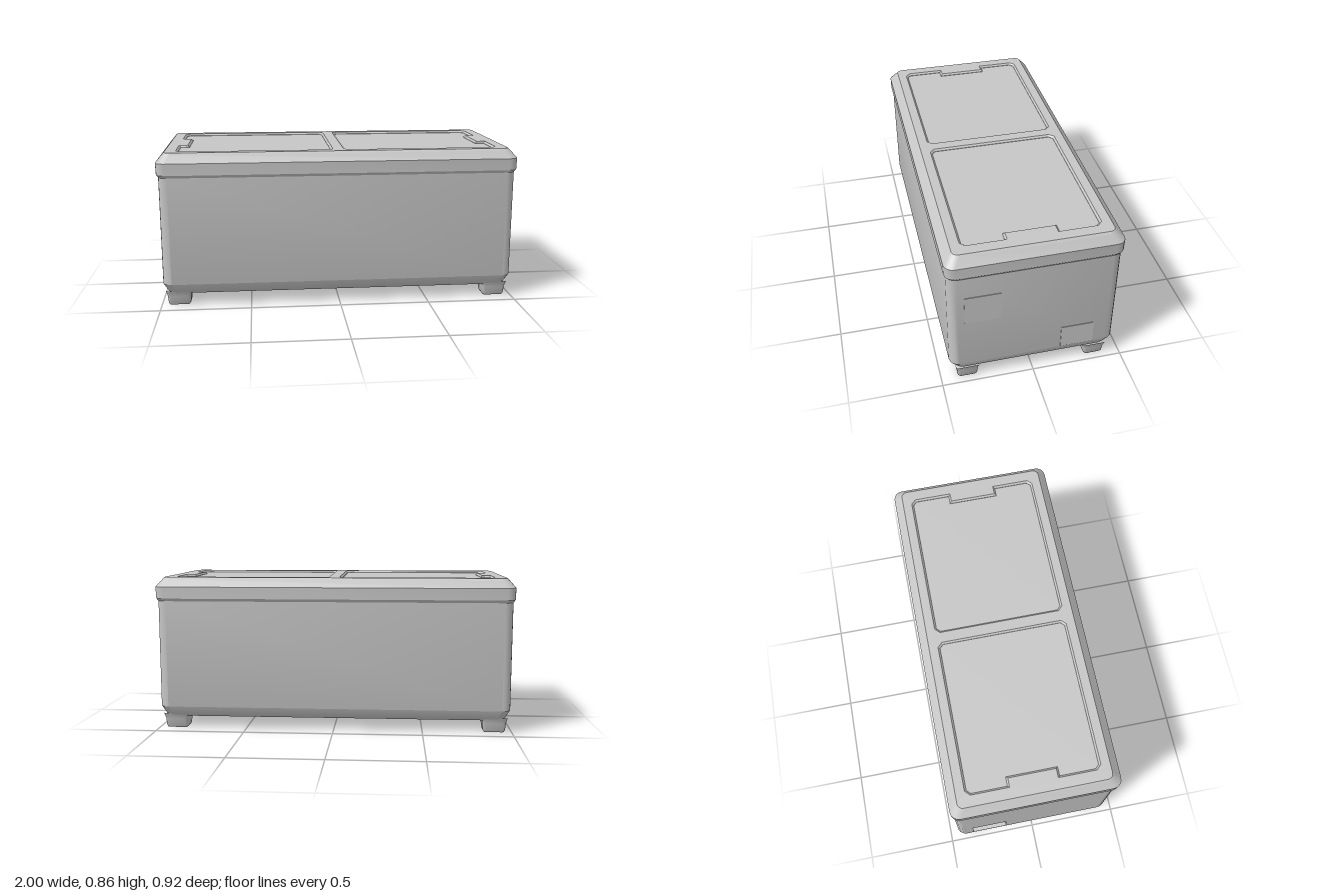
import * as THREE from 'three';
import { toCreasedNormals } from 'three/addons/utils/BufferGeometryUtils.js';

const SEG = 4; // segments per rounded corner

// Rounded rectangle outline, running from +x towards +z
function outline(hx, hz, r) {
  const pts = [];
  [[1, 1], [-1, 1], [-1, -1], [1, -1]].forEach(([sx, sz], q) => {
    for (let i = 0; i <= SEG; i++) {
      const a = (q + i / SEG) * Math.PI / 2;
      pts.push([sx * (hx - r) + r * Math.cos(a), sz * (hz - r) + r * Math.sin(a)]);
    }
  });
  return pts;
}

// Skin through rounded rectangles [y, halfX, halfZ, radius], closed underneath.
// openBand leaves out the flat -x face between that ring and the next.
function loft(rings, openBand = -1) {
  const pos = [], idx = [], n = 4 * (SEG + 1), leftFace = 2 * (SEG + 1) - 1;
  for (const [y, hx, hz, r] of rings) {
    for (const [x, z] of outline(hx, hz, r)) pos.push(x, y, z);
  }
  for (let k = 0; k < rings.length - 1; k++) {
    for (let i = 0; i < n; i++) {
      if (k === openBand && i === leftFace) continue;
      const a = k * n + i, b = k * n + (i + 1) % n;
      idx.push(a, a + n, b + n, a, b + n, b);
    }
  }
  for (let i = 1; i < n - 1; i++) idx.push(0, i, i + 1);
  const g = new THREE.BufferGeometry();
  g.setAttribute('position', new THREE.Float32BufferAttribute(pos, 3));
  g.setIndex(idx);
  return toCreasedNormals(g, 0.5);
}

function polygon(points, Type = THREE.Shape) {
  return new Type(points.map(([x, y]) => new THREE.Vector2(x, y)));
}

export function createModel() {
  const model = new THREE.Group();
  const grey = new THREE.MeshStandardMaterial({ color: 0xc6c6c6 });
  grey.name = 'light grey';

  const add = (name, geometry, x = 0, y = 0, z = 0) => {
    const mesh = new THREE.Mesh(geometry, grey);
    mesh.name = name;
    mesh.position.set(x, y, z);
    model.add(mesh);
    return mesh;
  };
  const box = (name, w, h, d, x, y, z) => add(name, new THREE.BoxGeometry(w, h, d), x, y, z);

  // Cabinet and overhanging lid rim
  add('cabinet', loft([
    [0.07, 0.955, 0.415, 0.04],
    [0.08, 0.965, 0.425, 0.05],
    [0.13, 0.988, 0.452, 0.05],
    [0.73, 0.988, 0.452, 0.05],
    [0.745, 0.998, 0.461, 0.05],
    [0.81, 1.0, 0.462, 0.05],
    [0.852, 0.965, 0.425, 0.04],
  ], 2));

  // End wall with a recessed service opening
  const wall = polygon([[-0.402, 0.13], [0.402, 0.13], [0.402, 0.73], [-0.402, 0.73]]);
  wall.holes.push(polygon([[-0.36, 0.14], [-0.165, 0.14], [-0.165, 0.295], [-0.36, 0.295]], THREE.Path));
  const endWall = add('endWall', new THREE.ExtrudeGeometry(wall, { depth: 0.03, bevelEnabled: false }), -0.958);
  endWall.rotation.y = -Math.PI / 2;
  box('recessBack', 0.01, 0.17, 0.21, -0.953, 0.2175, -0.2625);
  const cover = polygon([[-0.345, 0.145], [-0.215, 0.145], [-0.19, 0.17], [-0.19, 0.25], [-0.215, 0.275], [-0.345, 0.275]]);
  const plate = add('recessCover', new THREE.ExtrudeGeometry(cover, { depth: 0.008, bevelEnabled: false }), -0.957);
  plate.rotation.y = -Math.PI / 2;

  // Shallow plates on the other end
  box('endPlate', 0.006, 0.17, 0.19, 0.988, 0.515, 0.275);
  box('lowerEndPlate', 0.006, 0.14, 0.18, 0.988, 0.205, -0.24);

  // Lid frame with two bevelled openings, each notched for a grip
  const frame = polygon(outline(0.965, 0.425, 0.04));
  for (const s of [-1, 1]) {
    const half = [[0.04, 0.335], [0.06, 0.355], [0.865, 0.355], [0.885, 0.335], [0.885, 0.14], [0.835, 0.14]];
    const mirrored = half.map(([x, z]) => [x, -z]).reverse();
    frame.holes.push(polygon([...half, ...mirrored].map(([x, z]) => [s * x, z]), THREE.Path));
  }
  const lidFrame = add('lidFrame', new THREE.ExtrudeGeometry(frame, {
    depth: 0.01, bevelThickness: 0.01, bevelSize: 0.01, bevelOffset: -0.01, bevelSegments: 1,
  }), 0, 0.842);
  lidFrame.rotation.x = -Math.PI / 2;

  // Sunken lid panels
  for (const s of [-1, 1]) {
    box(s > 0 ? 'leftLidPanel' : 'rightLidPanel', 0.88, 0.012, 0.74, s * 0.465, 0.844, 0);
  }

  // Four tapered feet under the corners
  const foot = loft([
    [0, 0.056, 0.048, 0.012],
    [0.01, 0.062, 0.054, 0.016],
    [0.05, 0.066, 0.058, 0.018],
    [0.068, 0.07, 0.064, 0.018],
    [0.085, 0.075, 0.07, 0.018],
  ]);
  for (const sx of [-1, 1]) {
    for (const sz of [-1, 1]) {
      add((sz > 0 ? 'front' : 'back') + (sx > 0 ? 'Left' : 'Right') + 'Foot', foot, sx * 0.902, 0, sz * 0.355);
    }
  }
  return model;
}
